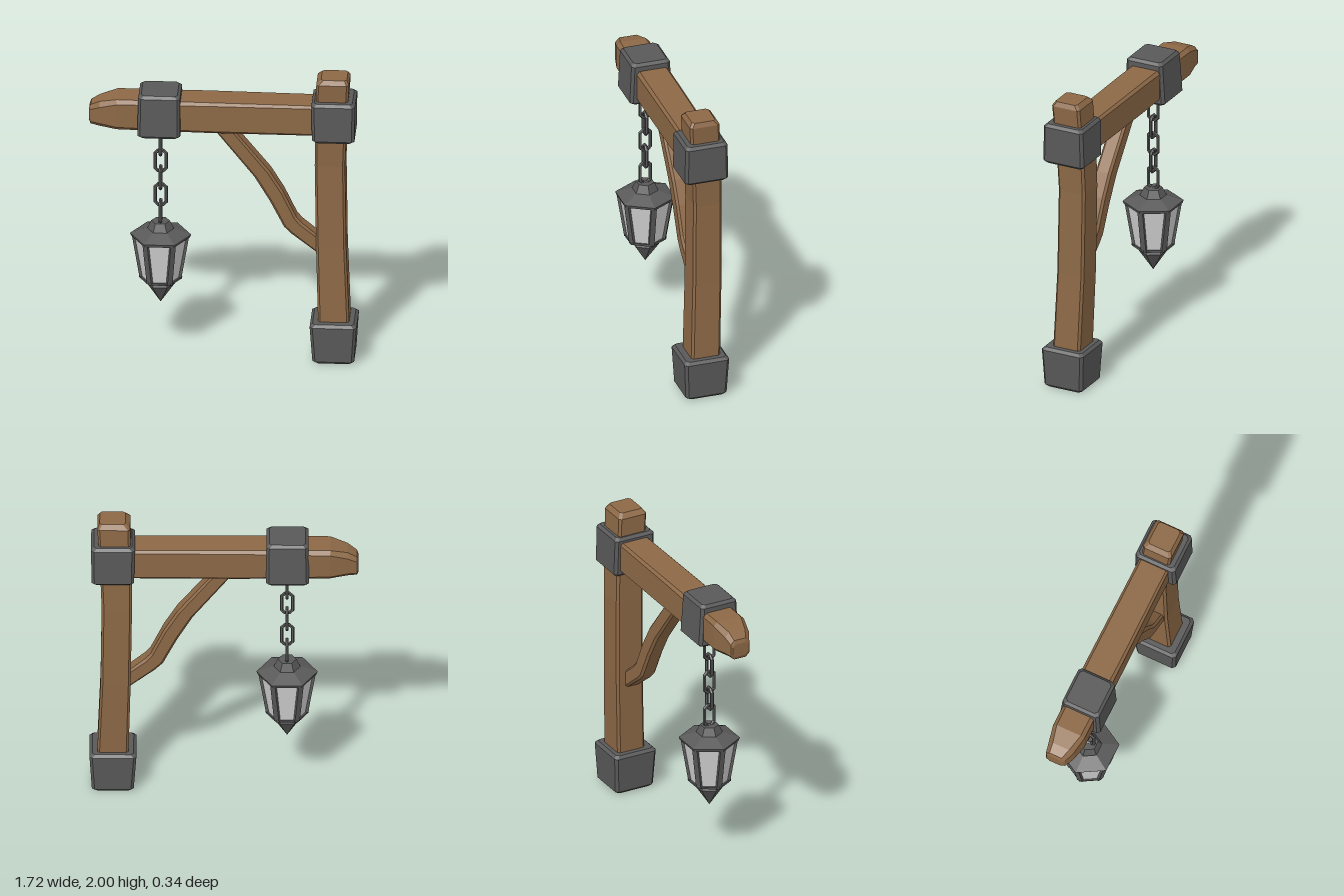
import * as THREE from 'three';

const mat = (name, color) => {
  const m = new THREE.MeshStandardMaterial({ color });
  m.name = name;
  return m;
};
const V = (x, y, z) => new THREE.Vector3(x, y, z);

// Rectangle at corner p spanned by A and B, with its four corners cut by c
function ring(p, A, B, c) {
  const a = c / A.length(), b = c / B.length();
  return [[a, 0], [1 - a, 0], [1, b], [1, 1 - b], [1 - a, 1], [a, 1], [0, 1 - b], [0, b]]
    .map(([u, v]) => p.clone().addScaledVector(A, u).addScaledVector(B, v));
}

// Flat-faced solid through a row of rings, closed at both ends
function loft(rings) {
  const n = rings[0].length, pos = [];
  const tri = (...pts) => pts.forEach((q) => pos.push(q.x, q.y, q.z));
  for (let j = 0; j < rings.length - 1; j++) {
    for (let i = 0; i < n; i++) {
      const k = (i + 1) % n, r = rings[j], s = rings[j + 1];
      tri(r[i], r[k], s[k]);
      tri(r[i], s[k], s[i]);
    }
  }
  const first = rings[0], last = rings[rings.length - 1];
  for (let i = 1; i < n - 1; i++) {
    tri(first[0], first[i + 1], first[i]);
    tri(last[0], last[i], last[i + 1]);
  }
  const g = new THREE.BufferGeometry();
  g.setAttribute('position', new THREE.Float32BufferAttribute(pos, 3));
  g.computeVertexNormals();
  return g;
}

// Rings stacked along y: [y, x0, x1, z0, z1, cut]
const loftY = (rows) => loft(rows.map(([y, x0, x1, z0, z1, c]) =>
  ring(V(x0, y, z0), V(0, 0, z1 - z0), V(x1 - x0, 0, 0), c)));
// Rings stacked along x: [x, y0, y1, z0, z1, cut]
const loftX = (rows) => loft(rows.map(([x, y0, y1, z0, z1, c]) =>
  ring(V(x, y0, z0), V(0, y1 - y0, 0), V(0, 0, z1 - z0), c)));

// Bevelled block between a bottom and a top rectangle [y, x0, x1, z0, z1]
function block(lo, hi) {
  const e = 0.018;
  const inset = ([y, x0, x1, z0, z1], dy) => [y + dy, x0 + e, x1 - e, z0 + e, z1 - e, e];
  return loftY([inset(lo, 0), [lo[0] + e, ...lo.slice(1), e], [hi[0] - e, ...hi.slice(1), e], inset(hi, 0)]);
}

function faceted(geometry) {
  const g = geometry.toNonIndexed();
  g.computeVertexNormals();
  return g;
}

export function createModel() {
  const wood = mat('wood', 0x8c6846);
  const iron = mat('iron', 0x595959);
  const glass = mat('glass', 0xd2d2d2);
  const model = new THREE.Group();
  model.name = 'hangingLanternPost';
  const add = (name, geometry, material, parent = model) => {
    const m = new THREE.Mesh(geometry, material);
    m.name = name;
    parent.add(m);
    return m;
  };

  // Slightly bowed upright post
  add('post', loftY([
    [0.1, 0.615, 0.81, -0.1, 0.095, 0.015],
    [0.3, 0.61, 0.81, -0.105, 0.09, 0.015],
    [0.8, 0.597, 0.79, -0.12, 0.073, 0.015],
    [1.38, 0.588, 0.782, -0.125, 0.066, 0.015],
    [1.6, 0.59, 0.79, -0.12, 0.075, 0.015],
    [1.97, 0.6, 0.81, -0.1, 0.1, 0.015],
    [2.0, 0.63, 0.795, -0.075, 0.08, 0.015],
  ]), wood);

  // Cross beam with a hewn, tapered tip
  add('beam', loftX([
    [-0.86, 1.64, 1.73, -0.08, 0.03, 0.02],
    [-0.85, 1.62, 1.755, -0.09, 0.045, 0.025],
    [-0.79, 1.617, 1.79, -0.1, 0.075, 0.03],
    [-0.68, 1.61, 1.82, -0.12, 0.1, 0.025],
    [-0.1, 1.605, 1.82, -0.115, 0.1, 0.018],
    [0.78, 1.605, 1.815, -0.108, 0.095, 0.015],
  ]), wood);

  // Curved brace: lower edge point, upper edge point
  add('brace', loft([
    [-0.09, 1.65, 0.04, 1.65],
    [-0.055, 1.605, 0.07, 1.605],
    [0.2, 1.28, 0.3, 1.32],
    [0.3, 1.11, 0.385, 1.18],
    [0.39, 0.93, 0.47, 1.0],
    [0.44, 0.88, 0.505, 0.96],
    [0.6, 0.755, 0.6, 0.88],
    [0.63, 0.735, 0.63, 0.86],
  ].map(([x0, y0, x1, y1]) =>
    ring(V(x0, y0, -0.06), V(x1 - x0, y1 - y0, 0), V(0, 0, 0.11), 0.015))), wood);

  // Iron fittings
  add('baseShoe', block([0.005, 0.577, 0.845, -0.138, 0.138], [0.285, 0.56, 0.86, -0.15, 0.15]), iron);
  add('cornerBand', block([1.575, 0.575, 0.847, -0.148, 0.145], [1.85, 0.57, 0.85, -0.142, 0.14]), iron);
  add('beamBand', block([1.575, -0.545, -0.27, -0.146, 0.142], [1.87, -0.54, -0.272, -0.128, 0.13]), iron);

  // Lantern and its chain share one vertical axis
  const hanging = new THREE.Group();
  hanging.name = 'hangingLantern';
  hanging.position.x = -0.403;
  model.add(hanging);

  // Chain of five stretched links, each a quarter turn from the last
  const link = new THREE.TorusGeometry(0.038, 0.012, 6, 8).rotateZ(Math.PI / 8);
  const lp = link.attributes.position;
  for (let i = 0; i < lp.count; i++) lp.setY(i, lp.getY(i) + Math.sign(lp.getY(i)) * 0.038);
  const linkGeometry = faceted(link);
  for (let i = 0; i < 5; i++) {
    const m = add('chainLink', linkGeometry, iron, hanging);
    m.position.y = 1.48 - i * 0.12;
    m.rotation.y = i % 2 ? 0 : Math.PI / 2;
  }

  // Six-sided lantern parts: bottom radius and height, top radius and height
  const hex = (name, r0, y0, r1, y1, material) => add(name, faceted(
    new THREE.CylinderGeometry(r1, r0, y1 - y0, 6, 1, false, Math.PI / 6)
      .translate(0, (y0 + y1) / 2, 0)), material, hanging);
  hex('roofCap', 0.087, 0.875, 0.06, 0.932, iron);
  hex('roof', 0.196, 0.838, 0.09, 0.878, iron);
  hex('roofRim', 0.188, 0.818, 0.196, 0.838, iron);
  hex('panes', 0.126, 0.535, 0.174, 0.82, glass);
  hex('floor', 0.137, 0.525, 0.139, 0.54, iron);
  hex('collar', 0.092, 0.49, 0.075, 0.527, iron);
  hex('spike', 0.001, 0.358, 0.092, 0.49, iron);

  // Frame bars on the six slanted corners
  const tilt = Math.atan2(0.048, 0.29);
  const bar = new THREE.BoxGeometry(0.026, 0.297, 0.036)
    .rotateZ(-tilt).translate(0.145, 0.678, 0);
  for (let i = 0; i < 6; i++) {
    add('frameBar', bar, iron, hanging).rotation.y = i * Math.PI / 3;
  }
  return model;
}
